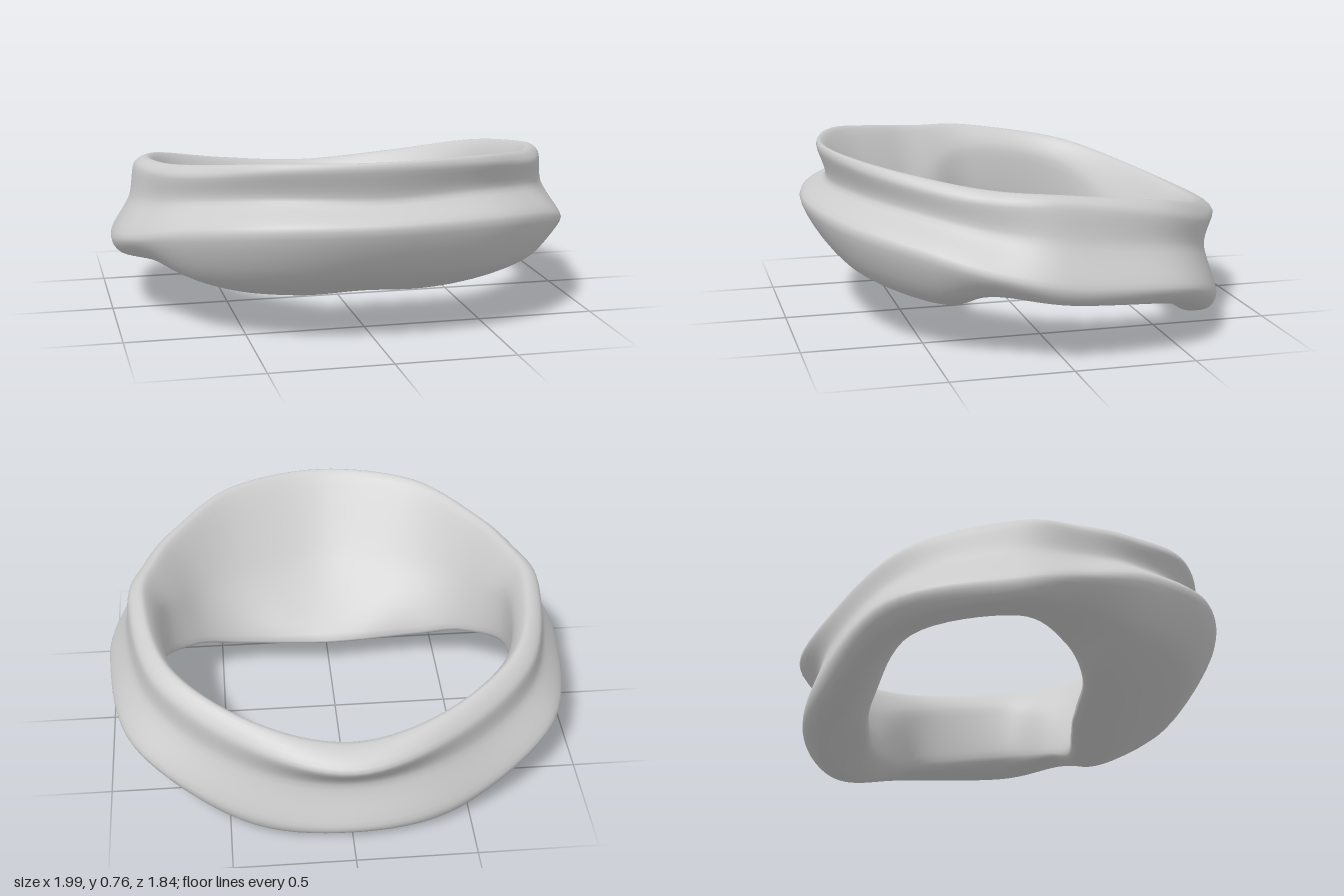
import * as THREE from 'three';

// Stations around the collar, in degrees from the front (+z); mirrored for the other half
const ANGLES = [0, 30, 55, 72, 90, 120, 150, 180];

// Lines running round the collar: radius and height at each station
const LINES = [
  { r: [.80, .80, .79, .805, .825, .84, .80, .80], y: [.74, .735, .70, .675, .66, .60, .51, .46] },  // rim top
  { r: [.84, .85, .85, .87, .89, .91, .875, .925], y: [.735, .72, .67, .645, .635, .55, .44, .40] }, // rim outside
  { r: [.805, .82, .84, .875, .915, .925, .865, .83], y: [.60, .60, .56, .52, .49, .42, .31, .26] }, // groove
  { r: [.915, .945, .96, .98, .995, 1.025, .925, .89], y: [.51, .50, .445, .38, .33, .27, .12, .08] }, // bulge
  { r: [.78, .83, .87, .89, .96, .97, .89, .86], y: [.295, .28, .26, .28, .255, .195, .042, .025] }, // lower outside
  { r: [.47, .55, .66, .72, .86, .88, .78, .79], y: [.149, .147, .165, .24, .245, .19, .026, .005] }, // underside
  { r: [.275, .325, .50, .64, .765, .81, .66, .61], y: [.165, .165, .18, .255, .30, .24, .12, .09] }, // inner lip
  { r: [.56, .57, .65, .70, .765, .785, .70, .68], y: [.43, .43, .45, .49, .55, .49, .34, .29] },    // inner wall
];

// Closed smooth curve through one line and its mirror image
function ringCurve({ r, y }) {
  const half = ANGLES.map((deg, i) => {
    const a = THREE.MathUtils.degToRad(deg);
    return new THREE.Vector3(r[i] * Math.sin(a), y[i], r[i] * Math.cos(a));
  });
  const mirrored = half.slice(1, -1).reverse().map((p) => new THREE.Vector3(-p.x, p.y, p.z));
  return new THREE.CatmullRomCurve3([...half, ...mirrored], true, 'catmullrom', 0.5);
}

// Skin the closed cross-sections into one smooth ring
function collarGeometry(around, section) {
  const rings = LINES.map(ringCurve);
  const positions = [];
  const index = [];
  for (let u = 0; u < around; u++) {
    const profile = new THREE.CatmullRomCurve3(
      rings.map((c) => c.getPoint(u / around)), true, 'catmullrom', 0.4);
    for (let v = 0; v < section; v++) {
      positions.push(...profile.getPoint(v / section).toArray());
      const a = u * section + v;
      const b = u * section + (v + 1) % section;
      const c = ((u + 1) % around) * section + v;
      const d = ((u + 1) % around) * section + (v + 1) % section;
      index.push(a, b, c, b, d, c);
    }
  }
  const geometry = new THREE.BufferGeometry();
  geometry.setAttribute('position', new THREE.Float32BufferAttribute(positions, 3));
  geometry.setIndex(index);
  geometry.computeVertexNormals();
  return geometry;
}

export function createModel() {
  const group = new THREE.Group();
  group.name = 'collar';
  const grey = new THREE.MeshStandardMaterial({ color: 0xcccccc });
  grey.name = 'grey';
  const band = new THREE.Mesh(collarGeometry(112, 48), grey);
  band.name = 'collarBand';
  group.add(band);
  return group;
}
